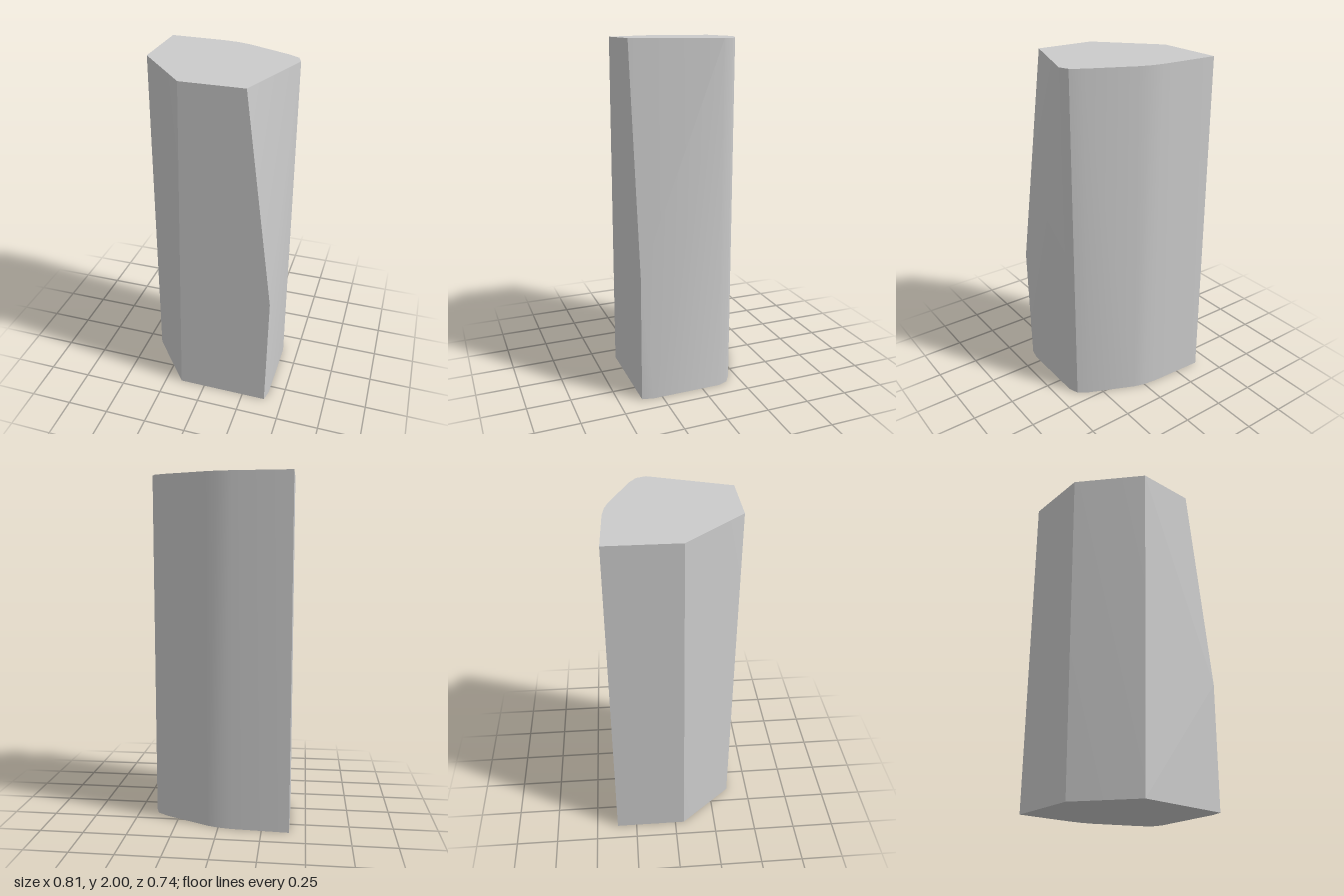
import * as THREE from 'three';
import { ConvexGeometry } from 'three/addons/geometries/ConvexGeometry.js';
import { toCreasedNormals } from 'three/addons/utils/BufferGeometryUtils.js';

export function createModel() {
  const group = new THREE.Group();
  group.name = 'facetedColumn';

  // Curved back edge, shared by the bottom and top outlines [x, z]
  const back = [[-0.08, -0.355], [0, -0.344], [0.065, -0.324], [0.325, -0.205], [0.384, -0.165], [0.405, -0.108]];

  // Outlines at each height; the middle point is the foot of the slanted corner cut
  const outlines = [
    { y: 0, points: [[-0.408, -0.37], ...back, [0.405, 0.3], [0.39, 0.368], [-0.152, 0.368], [-0.408, 0.055]] },
    { y: 0.74, points: [[0.4, 0.368]] },
    { y: 2, points: [[-0.408, -0.364], ...back.map(([x, z]) => [x, z + 0.002]), [0.24, 0.368], [-0.112, 0.368], [-0.408, 0.036]] },
  ];
  const corners = outlines.flatMap(({ y, points }) => points.map(([x, z]) => new THREE.Vector3(x, y, z)));

  // Solid block: smooth curved back, sharp corners elsewhere
  const geometry = toCreasedNormals(new ConvexGeometry(corners), THREE.MathUtils.degToRad(30));
  const block = new THREE.Mesh(geometry, new THREE.MeshStandardMaterial({ color: 0xcccccc }));
  block.name = 'columnBlock';
  group.add(block);
  return group;
}
